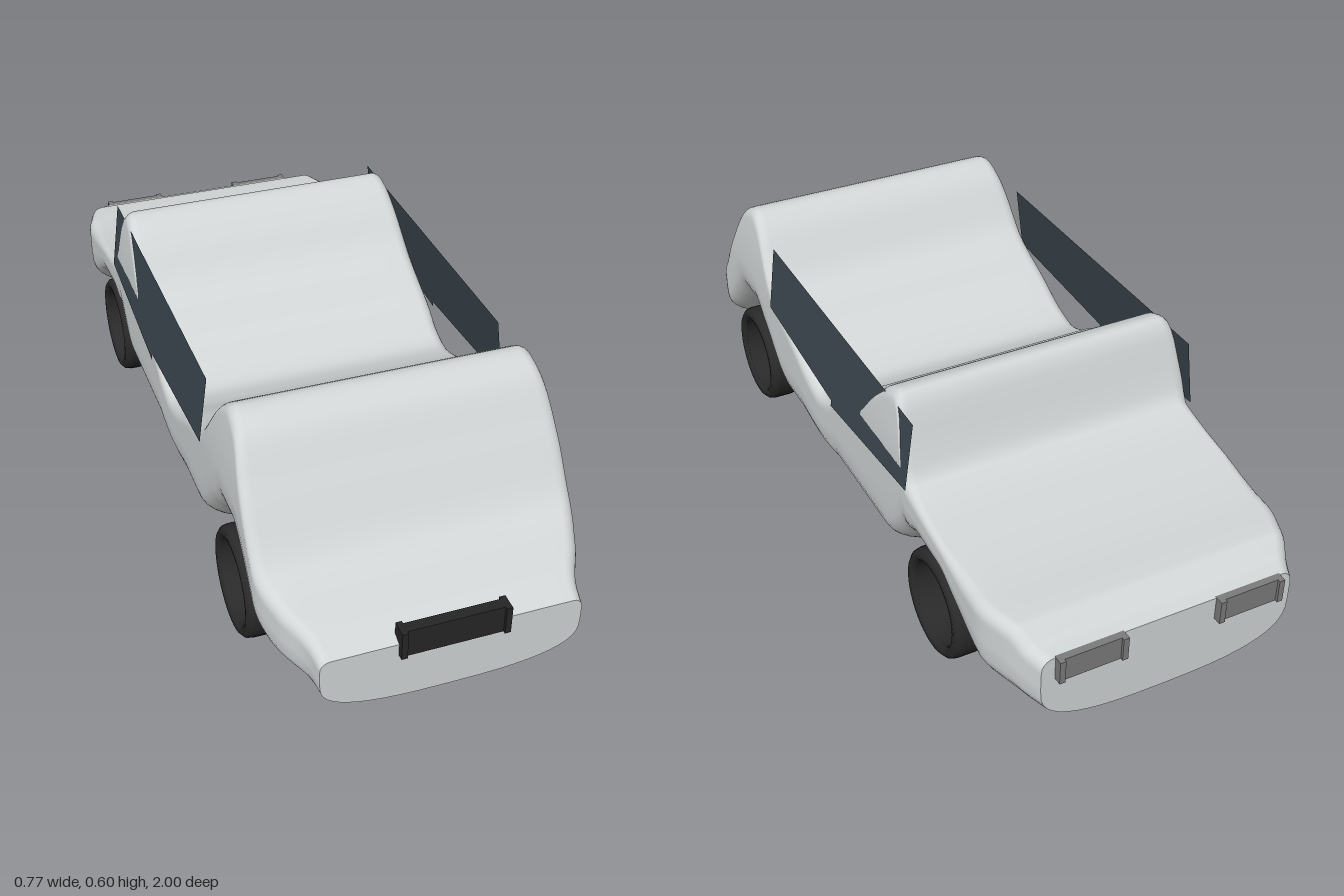
import * as THREE from 'three';

const material = (name, color, side = THREE.FrontSide) => {
  const m = new THREE.MeshStandardMaterial({ color, side });
  m.name = name;
  return m;
};

// Smooth interpolation through [z, value] pairs (z ascending) without overshoot
function profile(points) {
  const n = points.length;
  const d = [];
  for (let i = 0; i < n - 1; i++) {
    d.push((points[i + 1][1] - points[i][1]) / (points[i + 1][0] - points[i][0]));
  }
  const slope = points.map((_, i) => {
    if (i === 0) return d[0];
    if (i === n - 1) return d[n - 2];
    return d[i - 1] * d[i] <= 0 ? 0 : (2 * d[i - 1] * d[i]) / (d[i - 1] + d[i]);
  });
  return (z) => {
    let i = 0;
    while (i < n - 2 && z > points[i + 1][0]) i++;
    const h = points[i + 1][0] - points[i][0];
    const t = THREE.MathUtils.clamp((z - points[i][0]) / h, 0, 1);
    const a = t * t * (3 - 2 * t);
    return points[i][1] * (1 - a) + points[i + 1][1] * a
      + h * (t * (1 - t) ** 2 * slope[i] - t * t * (1 - t) * slope[i + 1]);
  };
}

// Side and plan outlines of the body
const topAt = profile([
  [-0.98, 0.295], [-0.94, 0.305], [-0.9, 0.335], [-0.77, 0.342], [-0.6, 0.365], [-0.46, 0.405],
  [-0.42, 0.5], [-0.395, 0.575], [-0.37, 0.597], [-0.33, 0.585], [-0.28, 0.545], [-0.2, 0.46],
  [-0.04, 0.37], [0.01, 0.335], [0.08, 0.315], [0.145, 0.33], [0.25, 0.38], [0.385, 0.445],
  [0.5, 0.582], [0.545, 0.605], [0.6, 0.585], [0.68, 0.475], [0.79, 0.322], [0.92, 0.27], [0.985, 0.243],
]);
const bottomAt = profile([
  [-0.98, 0.093], [-0.84, 0.09], [-0.7, 0.19], [-0.62, 0.25], [-0.52, 0.25], [-0.44, 0.19], [-0.32, 0.09],
  [0.32, 0.09], [0.45, 0.19], [0.53, 0.25], [0.62, 0.25], [0.7, 0.19], [0.84, 0.09], [0.985, 0.09],
]);
const widthAt = profile([
  [-0.98, 0.312], [-0.95, 0.325], [-0.88, 0.355], [-0.8, 0.375], [0.76, 0.375], [0.85, 0.35],
  [0.94, 0.308], [0.985, 0.3],
]);

// Half cross-section from the bottom centre round to the top centre
function halfSection(z) {
  const T = topAt(z), B = bottomAt(z), W = widthAt(z), h = T - B;
  const belly = Math.min(0.16, h * 0.6), r = Math.min(0.03, h * 0.15);
  const inset = (y) => W - 0.45 * Math.max(0, y - 0.38) ** 2;
  const pts = [];
  for (let i = 0; i <= 12; i++) {
    const a = (i / 12) * Math.PI / 2;
    pts.push([W * Math.sin(a) ** 0.71, B + belly * (1 - Math.max(0, Math.cos(a)) ** 0.71)]);
  }
  for (let i = 1; i <= 7; i++) {
    const y = THREE.MathUtils.lerp(B + belly, T - r, i / 7);
    pts.push([inset(y), y]);
  }
  const cx = inset(T - r) - r;
  for (let i = 1; i <= 5; i++) {
    const a = (i / 5) * Math.PI / 2;
    pts.push([cx + r * Math.cos(a), T - r + r * Math.sin(a)]);
  }
  pts.push([cx * 0.85, T], [cx * 0.4, T], [0, T]);
  return pts;
}

function bodyGeometry() {
  const z0 = -0.98, z1 = 0.985, steps = 150;
  const pos = [], index = [];
  const section = (z) => {
    const half = halfSection(z);
    const mirrored = half.slice(1, -1).reverse().map(([x, y]) => [-x, y]);
    return [...half, ...mirrored];
  };
  const n = section(0).length;
  for (let k = 0; k <= steps; k++) {
    const z = THREE.MathUtils.lerp(z0, z1, k / steps);
    for (const [x, y] of section(z)) pos.push(x, y, z);
  }
  for (let k = 0; k < steps; k++) {
    for (let i = 0; i < n; i++) {
      const j = (i + 1) % n, a = k * n + i, b = k * n + j;
      index.push(a, b, b + n, a, b + n, a + n);
    }
  }
  // Flat ends with their own vertices, so the rim stays sharp
  for (const [z, front] of [[z0, false], [z1, true]]) {
    const start = pos.length / 3;
    for (const [x, y] of section(z)) pos.push(x, y, z);
    pos.push(0, (topAt(z) + bottomAt(z)) / 2, z);
    for (let i = 0; i < n; i++) {
      const a = start + i, b = start + (i + 1) % n;
      if (front) index.push(start + n, a, b);
      else index.push(start + n, b, a);
    }
  }
  const g = new THREE.BufferGeometry();
  g.setAttribute('position', new THREE.Float32BufferAttribute(pos, 3));
  g.setIndex(index);
  g.computeVertexNormals();
  return g;
}

// Leaning side window made of two panes
function windowGeometry(side) {
  const panes = [
    [[0.385, 0.4], [-0.04, 0.37], [-0.04, 0.57], [0.385, 0.57]],
    [[-0.04, 0.355], [-0.467, 0.395], [-0.467, 0.57], [-0.04, 0.57]],
  ];
  const pos = [], index = [];
  for (const pane of panes) {
    const s = pos.length / 3;
    for (const [z, y] of pane) pos.push(side * (0.378 - (y - 0.4) * 0.129), y, z);
    if (side > 0) index.push(s, s + 1, s + 2, s, s + 2, s + 3);
    else index.push(s, s + 2, s + 1, s, s + 3, s + 2);
  }
  const g = new THREE.BufferGeometry();
  g.setAttribute('position', new THREE.Float32BufferAttribute(pos, 3));
  g.setIndex(index);
  g.computeVertexNormals();
  return g;
}

// Hollow tyre ring lying along x
function tyreGeometry() {
  const ring = [
    [0.103, -0.035], [0.108, -0.043], [0.12, -0.045], [0.13, -0.036], [0.133, -0.022], [0.133, 0.022],
    [0.13, 0.036], [0.12, 0.045], [0.108, 0.043], [0.103, 0.035], [0.103, -0.035],
  ];
  return new THREE.LatheGeometry(ring.map(([r, y]) => new THREE.Vector2(r, y)), 40).rotateZ(Math.PI / 2);
}

export function createModel() {
  const model = new THREE.Group();
  model.name = 'car';
  const paint = material('body paint', 0xd2d6d6);
  const glass = material('window glass', 0x3b474f, THREE.DoubleSide);
  const rubber = material('tyre rubber', 0x2a2a2a, THREE.DoubleSide);
  const black = material('grille black', 0x262626);
  const grey = material('lamp grey', 0x7c7c7c);

  const add = (name, geometry, mat, x = 0, y = 0, z = 0, parent = model) => {
    const mesh = new THREE.Mesh(geometry, mat);
    mesh.name = name;
    mesh.position.set(x, y, z);
    parent.add(mesh);
    return mesh;
  };

  // Panel with a thicker lip at each end
  const lippedPanel = (name, w, h, mat, x, y, z) => {
    const group = new THREE.Group();
    group.name = name;
    group.position.set(x, y, z);
    add('panel', new THREE.BoxGeometry(w - 0.02, h, 0.026), mat, 0, 0, 0, group);
    for (const s of [-1, 1]) {
      add('endLip', new THREE.BoxGeometry(0.014, h, 0.04), mat, s * (w / 2 - 0.007), 0, 0, group);
    }
    model.add(group);
  };

  add('body', bodyGeometry(), paint);
  const tyre = tyreGeometry();
  for (const [side, label] of [[1, 'left'], [-1, 'right']]) {
    add(`${label}Window`, windowGeometry(side), glass);
    add(`${label}FrontWheel`, tyre, rubber, side * 0.325, 0.133, 0.575);
    add(`${label}RearWheel`, tyre, rubber, side * 0.325, 0.133, -0.57);
    lippedPanel(`${label}RearLamp`, 0.165, 0.06, grey, side * 0.197, 0.266, -0.98);
  }
  lippedPanel('frontGrille', 0.25, 0.07, black, 0, 0.248, 0.98);
  return model;
}
